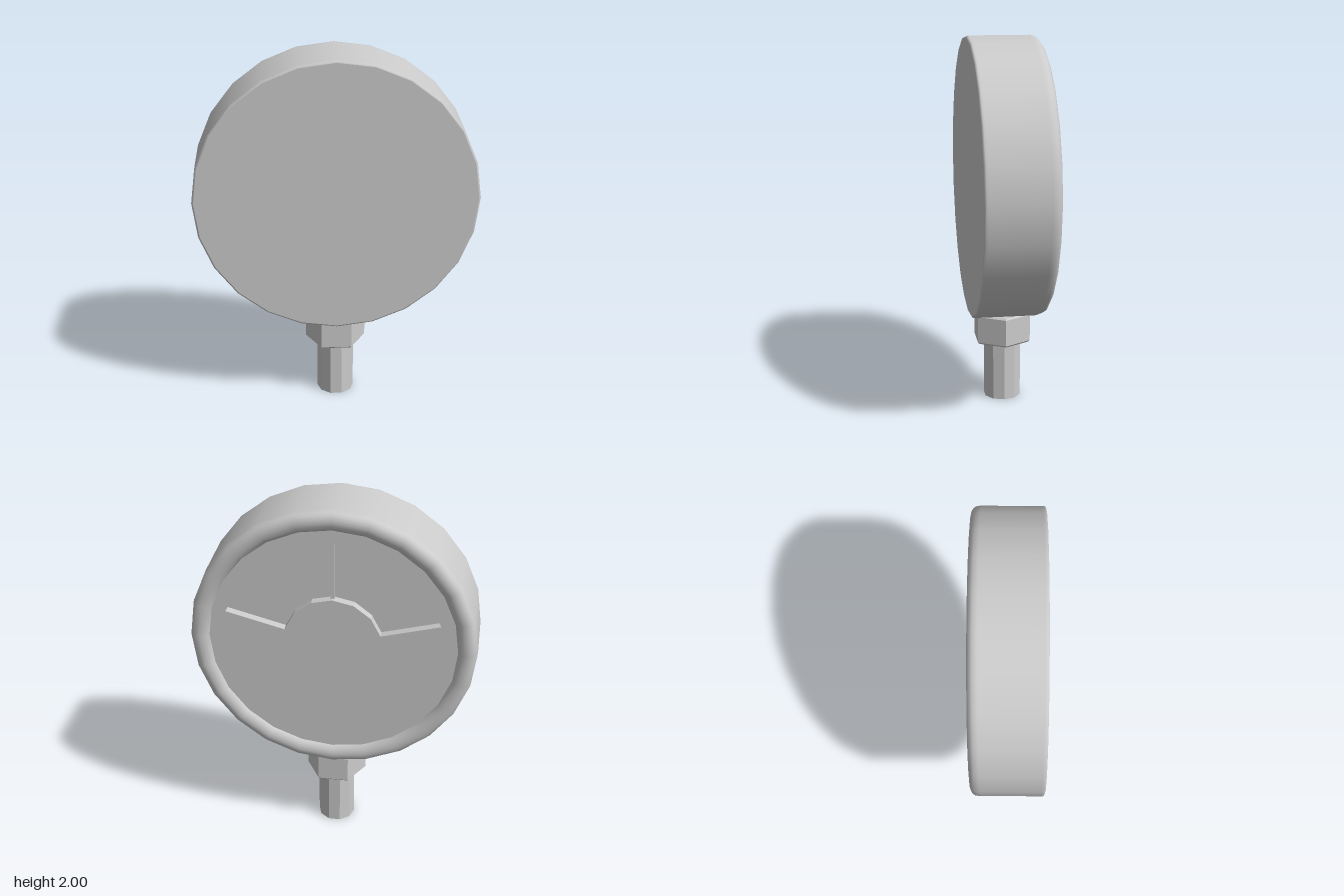
import * as THREE from 'three';

const CENTRE_Y = 1.245, R = 0.755, SIDES = 24;
const FRONT = 0.19, DIAL_Z = -0.165, FLOOR_Z = -0.12;

// points along an arc, angles in degrees
function arc(r, from, to, n) {
  return Array.from({ length: n + 1 }, (_, i) => {
    const a = THREE.MathUtils.degToRad(from + (to - from) * i / n);
    return new THREE.Vector2(r * Math.cos(a), r * Math.sin(a));
  });
}

export function createModel() {
  const group = new THREE.Group();
  const smooth = new THREE.MeshStandardMaterial({ color: 0xcccccc });
  const flat = new THREE.MeshStandardMaterial({ color: 0xcccccc, flatShading: true });

  function add(name, geometry, material, y, z = 0) {
    const mesh = new THREE.Mesh(geometry, material);
    mesh.name = name;
    mesh.position.set(0, y, z);
    group.add(mesh);
    return mesh;
  }

  // case: round shell whose rolled rim surrounds the dial at the back (-z)
  const profile = [
    [0.745, -FRONT], [0.752, -0.187], [R, -0.18], [R, -0.17], [R, 0.14],
    [R, 0.15], [0.752, 0.168], [0.742, 0.183], [0.725, 0.193], [0.705, 0.195],
    [0.685, 0.192], [0.668, 0.183], [0.656, 0.17], [0.652, 0.155], [0.652, 0.13],
  ].map(([r, h]) => new THREE.Vector2(r, h));
  add('case', new THREE.LatheGeometry(profile, SIDES).rotateX(-Math.PI / 2), smooth, CENTRE_Y);
  add('frontCover', new THREE.CircleGeometry(0.745, SIDES), flat, CENTRE_Y, FRONT);

  // dial plate with a fan-shaped window
  const dial = new THREE.Shape(arc(0.655, 0, 345, SIDES - 1));
  dial.holes.push(new THREE.Path([...arc(0.58, 15, 165, 10), ...arc(0.26, 165, 15, 6)]));
  const plate = new THREE.ExtrudeGeometry(dial, { depth: FLOOR_Z - DIAL_Z, bevelEnabled: false });
  add('dialPlate', plate.rotateY(Math.PI), flat, CENTRE_Y, FLOOR_Z);
  add('windowFloor', new THREE.CircleGeometry(0.65, SIDES).rotateY(Math.PI), flat, CENTRE_Y, FLOOR_Z);

  // needle standing upright in the window
  add('needle', new THREE.BoxGeometry(0.02, 0.33, 0.02), flat, CENTRE_Y + 0.418, -0.135);

  // hexagonal nut with small bevels
  const nut = [[0, 0.325], [0.157, 0.325], [0.166, 0.334], [0.166, 0.481], [0.157, 0.49], [0, 0.49]]
    .map(([r, h]) => new THREE.Vector2(r, h));
  add('hexNut', new THREE.LatheGeometry(nut, 6, Math.PI / 2), flat, 0);

  // stem
  const stem = new THREE.CylinderGeometry(0.102, 0.102, 0.34, 10, 1, false, Math.PI / 2);
  add('stem', stem, flat, 0.17);

  return group;
}
